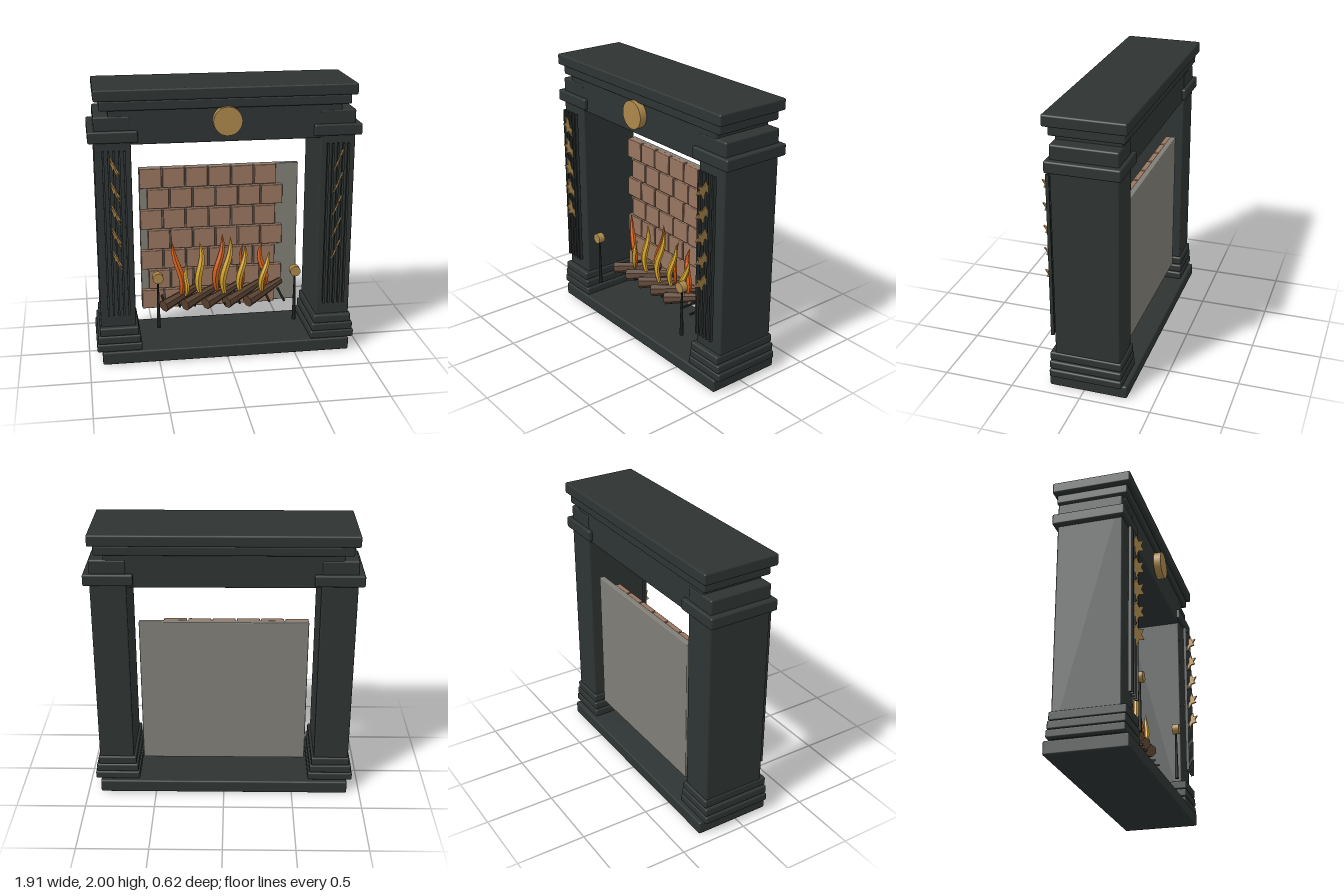
import * as THREE from 'three';
import { RoundedBoxGeometry } from 'three/addons/geometries/RoundedBoxGeometry.js';

const mat = (color, extra = {}) => new THREE.MeshStandardMaterial({ color, ...extra });
const slate = mat(0x2e3433);
const panelGrey = mat(0x807e76);
const brickMat = mat(0x987560);
const gold = mat(0xac884c, { flatShading: true });
const wood = mat(0x5a4232, { flatShading: true });
const iron = mat(0x1c1e1e);
const orange = mat(0xd8611a, { flatShading: true });
const yellow = mat(0xdba82c, { flatShading: true });

function add(parent, name, geometry, material, x = 0, y = 0, z = 0) {
  const mesh = new THREE.Mesh(geometry, material);
  mesh.name = name;
  mesh.position.set(x, y, z);
  parent.add(mesh);
  return mesh;
}

// Box with softened edges, given by its limits on each axis
function slab(parent, name, [x0, x1], [y0, y1], [z0, z1], material = slate, r = 0.012) {
  const geometry = new RoundedBoxGeometry(x1 - x0, y1 - y0, z1 - z0, 2, r);
  return add(parent, name, geometry, material, (x0 + x1) / 2, (y0 + y1) / 2, (z0 + z1) / 2);
}

// Rod from point a to point b
function rod(parent, name, a, b, rA, rB, sides, material) {
  const from = new THREE.Vector3(...a), to = new THREE.Vector3(...b);
  const dir = to.clone().sub(from);
  const mesh = add(parent, name, new THREE.CylinderGeometry(rB, rA, dir.length(), sides), material);
  mesh.position.copy(from).add(to).multiplyScalar(0.5);
  mesh.quaternion.setFromUnitVectors(new THREE.Vector3(0, 1, 0), dir.normalize());
  return mesh;
}

// Jagged leaf cut from a thin plate
function leafGeometry() {
  const half = [[0, 0.082], [0.018, 0.036], [0.05, 0.042], [0.036, 0.005], [0.056, -0.026], [0.02, -0.03], [0, -0.08]];
  const outline = [...half, ...half.slice(1, -1).reverse().map(([u, v]) => [-u, v])];
  const shape = new THREE.Shape(outline.map(([u, v]) => new THREE.Vector2(u, v)));
  const geometry = new THREE.ExtrudeGeometry(shape, { depth: 0.01, bevelEnabled: false });
  return geometry.translate(0, 0, -0.005).rotateY(Math.PI / 2);
}

// Flame: a closed cylinder bent along an S and drawn to a point
function flameGeometry(width, height, lean, sway) {
  const geometry = new THREE.CylinderGeometry(1, 1, 1, 6, 10);
  const p = geometry.attributes.position;
  for (let i = 0; i < p.count; i++) {
    const t = p.getY(i) + 0.5;
    const r = width * 0.5 * (0.45 + 1.9 * t) * Math.pow(1 - t, 0.9) + 0.0005;
    p.setXYZ(i,
      p.getX(i) * r + lean * t * t + sway * Math.sin(t * Math.PI * 2),
      t * height,
      p.getZ(i) * r * 0.7 + 0.012 * Math.sin(t * 5));
  }
  geometry.computeVertexNormals();
  return geometry;
}

function createPillar() {
  const pillar = new THREE.Group();
  pillar.name = 'pillar';
  slab(pillar, 'pillarShaft', [-0.91, -0.66], [0.09, 1.81], [-0.26, 0.2]);
  // Stepped foot and capital
  slab(pillar, 'footLower', [-0.945, -0.62], [0.095, 0.153], [-0.28, 0.238]);
  slab(pillar, 'footMiddle', [-0.935, -0.63], [0.155, 0.215], [-0.277, 0.238]);
  slab(pillar, 'footUpper', [-0.92, -0.642], [0.217, 0.28], [-0.275, 0.238]);
  slab(pillar, 'capital', [-0.953, -0.612], [1.63, 1.712], [-0.285, 0.225]);
  // Reeds standing just off the face
  for (let i = 0; i < 5; i++) {
    add(pillar, 'reed', new THREE.BoxGeometry(0.014, 1.2, 0.023), slate, -0.853 + i * 0.0365, 0.98, 0.238);
  }
  // Column of leaves
  const leaf = leafGeometry();
  for (let i = 0; i < 5; i++) {
    const mesh = add(pillar, 'leaf', leaf, gold, -0.78, 1.465 - i * 0.166, 0.255);
    mesh.rotation.set(0, 0.35, 0.36);
  }
  return pillar;
}

function createFirebox() {
  const box = new THREE.Group();
  box.name = 'fireback';
  slab(box, 'backPanel', [-0.59, 0.59], [0.25, 1.34], [-0.22, -0.18], panelGrey, 0.006);
  // Staggered brick courses
  const brick = new RoundedBoxGeometry(0.16, 0.147, 0.04, 1, 0.006);
  for (let row = 0; row < 7; row++) {
    for (let i = 0; i < 6; i++) {
      const x = -0.508 + i * 0.169 + (row % 2) * 0.053;
      add(box, 'brick', brick, brickMat, x, 0.325 + row * 0.157, -0.165);
    }
  }
  return box;
}

function createFire() {
  const fire = new THREE.Group();
  fire.name = 'fire';
  // Grate bars under the logs
  for (let i = 0; i < 9; i++) {
    const x = -0.44 + i * 0.111;
    rod(fire, 'grateBar', [x, 0.35, 0.08], [x, 0.35, -0.15], 0.009, 0.009, 8, iron);
  }
  // Slanted logs
  for (let i = 0; i < 5; i++) {
    const x = -0.45 + i * 0.155;
    rod(fire, 'log', [x, 0.365, 0.09], [x + 0.29, 0.425, -0.13], 0.046, 0.026, 7, wood);
  }
  // x, base y, z, width, height, lean, sway, colour
  const flames = [
    [-0.31, 0.41, 0.0, 0.075, 0.41, -0.06, 0.014, orange],
    [-0.28, 0.41, 0.03, 0.05, 0.24, 0.02, 0.01, yellow],
    [-0.17, 0.41, 0.0, 0.075, 0.4, 0.0, -0.016, yellow],
    [-0.04, 0.42, -0.02, 0.075, 0.44, 0.04, -0.018, orange],
    [0.01, 0.41, 0.02, 0.075, 0.44, 0.045, -0.018, yellow],
    [0.13, 0.41, 0.0, 0.07, 0.36, 0.04, -0.014, yellow],
    [0.14, 0.42, -0.03, 0.045, 0.36, 0.02, 0.012, orange],
    [0.3, 0.42, -0.02, 0.07, 0.36, 0.0, 0.022, orange],
    [0.29, 0.41, 0.02, 0.065, 0.31, 0.055, -0.012, yellow],
  ];
  for (const [x, y, z, w, h, lean, sway, colour] of flames) {
    add(fire, 'flame', flameGeometry(w, h, lean, sway), colour, x, y, z);
  }
  return fire;
}

export function createModel() {
  const model = new THREE.Group();
  model.name = 'fireplace';

  // Hearth, lintel and mantel
  slab(model, 'hearth', [-0.907, 0.907], [0, 0.095], [-0.31, 0.25]);
  slab(model, 'lintel', [-0.81, 0.81], [1.61, 1.87], [-0.255, 0.197]);
  slab(model, 'mantelMoulding', [-0.87, 0.87], [1.85, 1.92], [-0.288, 0.222]);
  slab(model, 'mantelShelf', [-0.907, 0.907], [1.92, 2], [-0.31, 0.25]);

  // Round medallion
  const medallion = new THREE.CylinderGeometry(0.1, 0.1, 0.055, 40).rotateX(Math.PI / 2);
  add(model, 'medallion', medallion, mat(0xac884c), 0, 1.763, 0.222);

  // Pillars, mirrored
  const right = createPillar();
  const left = createPillar();
  left.scale.x = -1;
  model.add(right, left);

  model.add(createFirebox(), createFire());

  // Andirons
  const knob = new THREE.CylinderGeometry(0.038, 0.038, 0.05, 20).rotateX(Math.PI / 2);
  for (const s of [-1, 1]) {
    rod(model, 'andironPost', [s * 0.497, 0.25, 0.2], [s * 0.497, 0.61, 0.2], 0.014, 0.006, 10, iron);
    add(model, 'andironKnob', knob, mat(0xac884c), s * 0.497, 0.635, 0.202);
  }
  return model;
}
